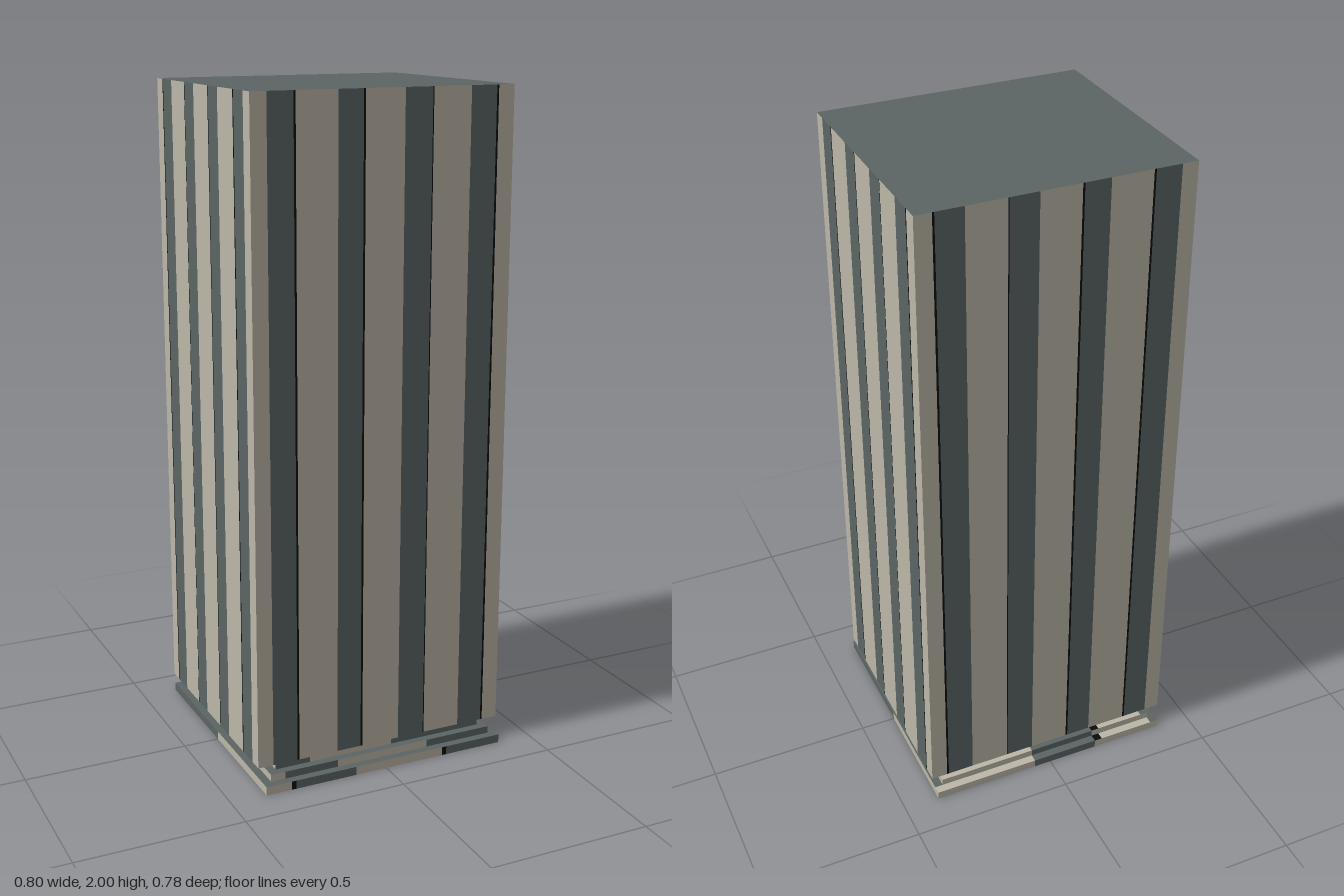
import * as THREE from 'three';

const mat = (name, color) => {
  const m = new THREE.MeshStandardMaterial({ color });
  m.name = name;
  return m;
};

export function createModel() {
  const model = new THREE.Group();
  model.name = 'stripedTower';
  const L = mat('paleStone', 0xbdb7a9);
  const D = mat('darkSlate', 0x5b6564);
  const K = mat('blackSeam', 0x0a0c0c);

  // Upright wall split into coloured strips; stops = [start, material, end, material, end ...]
  // axis 'x': wall at z = at, running along x; axis 'z': wall at x = at, running along z
  function wall(parent, name, axis, at, y0, y1, stops) {
    const g = new THREE.Group();
    g.name = name;
    for (let i = 0; i + 2 < stops.length; i += 2) {
      const a = stops[i], b = stops[i + 2];
      const mesh = new THREE.Mesh(new THREE.PlaneGeometry(b - a, y1 - y0), stops[i + 1]);
      mesh.name = name + 'Strip';
      const mid = (a + b) / 2, y = (y0 + y1) / 2;
      if (axis === 'x') {
        mesh.position.set(mid, y, at);
        mesh.rotation.y = at > 0 ? 0 : Math.PI;
      } else {
        mesh.position.set(at, y, mid);
        mesh.rotation.y = at > 0 ? Math.PI / 2 : -Math.PI / 2;
      }
      g.add(mesh);
    }
    parent.add(g);
  }

  // Level panel facing up or down
  function slab(parent, name, x0, x1, z0, z1, y, material, up = true) {
    const mesh = new THREE.Mesh(new THREE.PlaneGeometry(x1 - x0, z1 - z0), material);
    mesh.name = name;
    mesh.rotation.x = up ? -Math.PI / 2 : Math.PI / 2;
    mesh.position.set((x0 + x1) / 2, y, (z0 + z1) / 2);
    parent.add(mesh);
  }

  // Tall shaft with vertical stripes and narrow seams
  const shaft = new THREE.Group();
  shaft.name = 'shaft';
  model.add(shaft);
  const X = 0.4, ZF = 0.353, ZB = -0.368, Y0 = 0.071, Y1 = 2;
  const alongX = [-X, L, -0.352, D, -0.275, K, -0.269, L, -0.145, D, -0.069, K, -0.063, L,
    0.057, D, 0.142, K, 0.145, L, 0.263, D, 0.344, K, 0.35, L, X];
  const alongZ = [ZB, L, -0.322, K, -0.317, D, -0.245, L, -0.137, K, -0.134, D, -0.062, L,
    0.049, K, 0.053, D, 0.123, L, 0.235, K, 0.24, D, 0.308, L, ZF];
  wall(shaft, 'frontWall', 'x', ZF, Y0, Y1, alongX);
  wall(shaft, 'backWall', 'x', ZB, Y0, Y1, alongX);
  wall(shaft, 'leftWall', 'z', X, Y0, Y1, alongZ);
  wall(shaft, 'rightWall', 'z', -X, Y0, Y1, alongZ);
  slab(shaft, 'roof', -X, X, ZB, ZF, Y1, D);
  slab(shaft, 'shaftUnderside', -X, X, ZB, ZF, Y0, D, false);

  // Stepped plinth, widest step at the bottom
  const plinth = new THREE.Group();
  plinth.name = 'plinth';
  model.add(plinth);
  const steps = [
    { r: 0.39, y0: 0, y1: 0.026,
      front: [L, -0.31, K, -0.295, D, -0.1, L, 0.19, K, 0.205, D],
      back: [L, -0.16, D, 0.055, L], left: [L, 0, D], right: [D, 0, L] },
    { r: 0.365, y0: 0.026, y1: 0.048,
      front: [L, -0.32, D, -0.15, L, 0.15, D],
      back: [L, -0.16, D, 0.055, L], left: [L, -0.27, D, -0.25, L, 0, D], right: [D, 0, L] },
    { r: 0.34, y0: 0.048, y1: Y0,
      front: [D, -0.23, L, 0.04, D],
      back: [L, -0.16, D, 0.055, L], left: [D, -0.26, L, 0, D], right: [D, 0, L] },
  ];
  for (const { r, y0, y1, front, back, left, right } of steps) {
    const step = new THREE.Group();
    step.name = 'plinthStep';
    wall(step, 'stepFront', 'x', r, y0, y1, [-r, ...front, r]);
    wall(step, 'stepBack', 'x', -r, y0, y1, [-r, ...back, r]);
    wall(step, 'stepLeft', 'z', r, y0, y1, [-r, ...left, r]);
    wall(step, 'stepRight', 'z', -r, y0, y1, [-r, ...right, r]);
    // Tread: dark, with a patterned strip along the back
    const zb = 0.025 - r;
    slab(step, 'tread', -r, r, zb, r, y1, D);
    const cuts = [-r, D, 0.025 - r, L, -0.185, K, -0.16, D, 0.055, L, r];
    for (let i = 0; i + 2 < cuts.length; i += 2)
      slab(step, 'backTread', cuts[i], cuts[i + 2], -r, zb, y1, cuts[i + 1]);
    plinth.add(step);
  }

  // Underside of the plinth with its dark band and corner patch
  const R = 0.39;
  slab(plinth, 'underside', -R, -0.08, -R, R, 0, L, false);
  slab(plinth, 'undersideBand', -0.08, 0.18, -R, R, 0, D, false);
  slab(plinth, 'undersideEdge', 0.18, R, -R, 0, 0, L, false);
  slab(plinth, 'undersideEdge', 0.18, 0.22, 0, R, 0, L, false);
  slab(plinth, 'undersidePatch', 0.22, R, 0, R, 0, D, false);

  return model;
}
